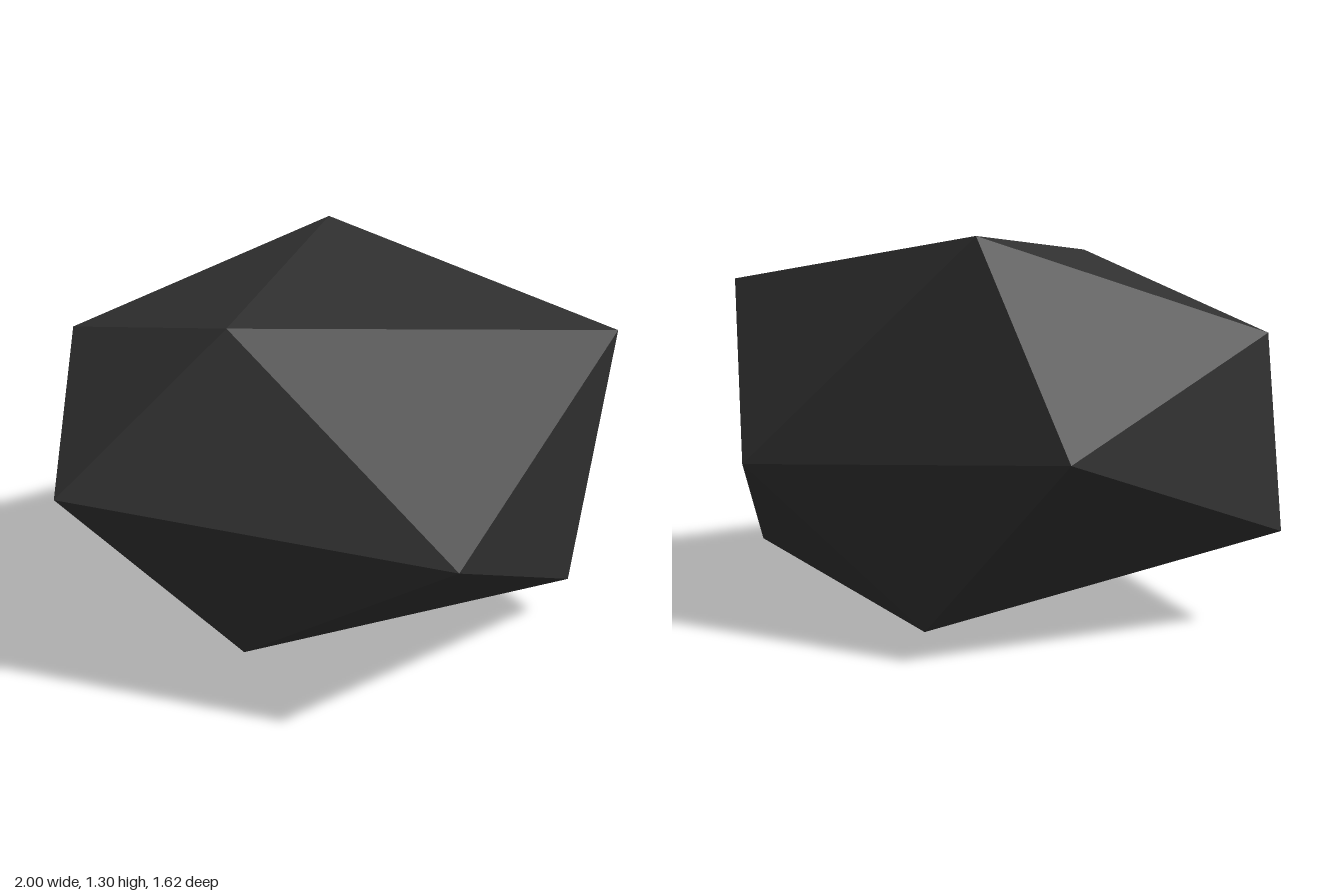
import * as THREE from 'three';

export function createModel() {
  const group = new THREE.Group();
  group.name = 'rock';
  const coal = new THREE.MeshStandardMaterial({ color: 0x303030, flatShading: true });
  coal.name = 'charcoal';

  // Irregular icosahedron: two poles with a ring of five corners around each
  const top = [-0.14, 1.30, -0.60];
  const bottom = [-0.11, 0.04, 0.48];
  const upper = [
    [-0.93, 0.98, 0.0], [-0.14, 1.23, 0.48], [1.0, 1.13, -0.15],
    [0.64, 0.56, -0.71], [-0.52, 0.65, -0.81],
  ];
  const lower = [
    [-0.61, 0.72, 0.81], [0.69, 0.68, 0.80], [0.91, 0.16, -0.15],
    [0.08, 0.0, -0.52], [-1.0, 0.33, -0.05],
  ];

  // Pole caps and the zigzag belt between the rings
  const corners = [];
  for (let i = 0; i < 5; i++) {
    const j = (i + 1) % 5;
    corners.push(
      top, upper[i], upper[j],
      upper[j], upper[i], lower[i],
      upper[j], lower[i], lower[j],
      bottom, lower[j], lower[i],
    );
  }
  const geometry = new THREE.BufferGeometry();
  geometry.setAttribute('position', new THREE.Float32BufferAttribute(corners.flat(), 3));
  geometry.computeVertexNormals();

  const stone = new THREE.Mesh(geometry, coal);
  stone.name = 'stone';
  group.add(stone);
  return group;
}
